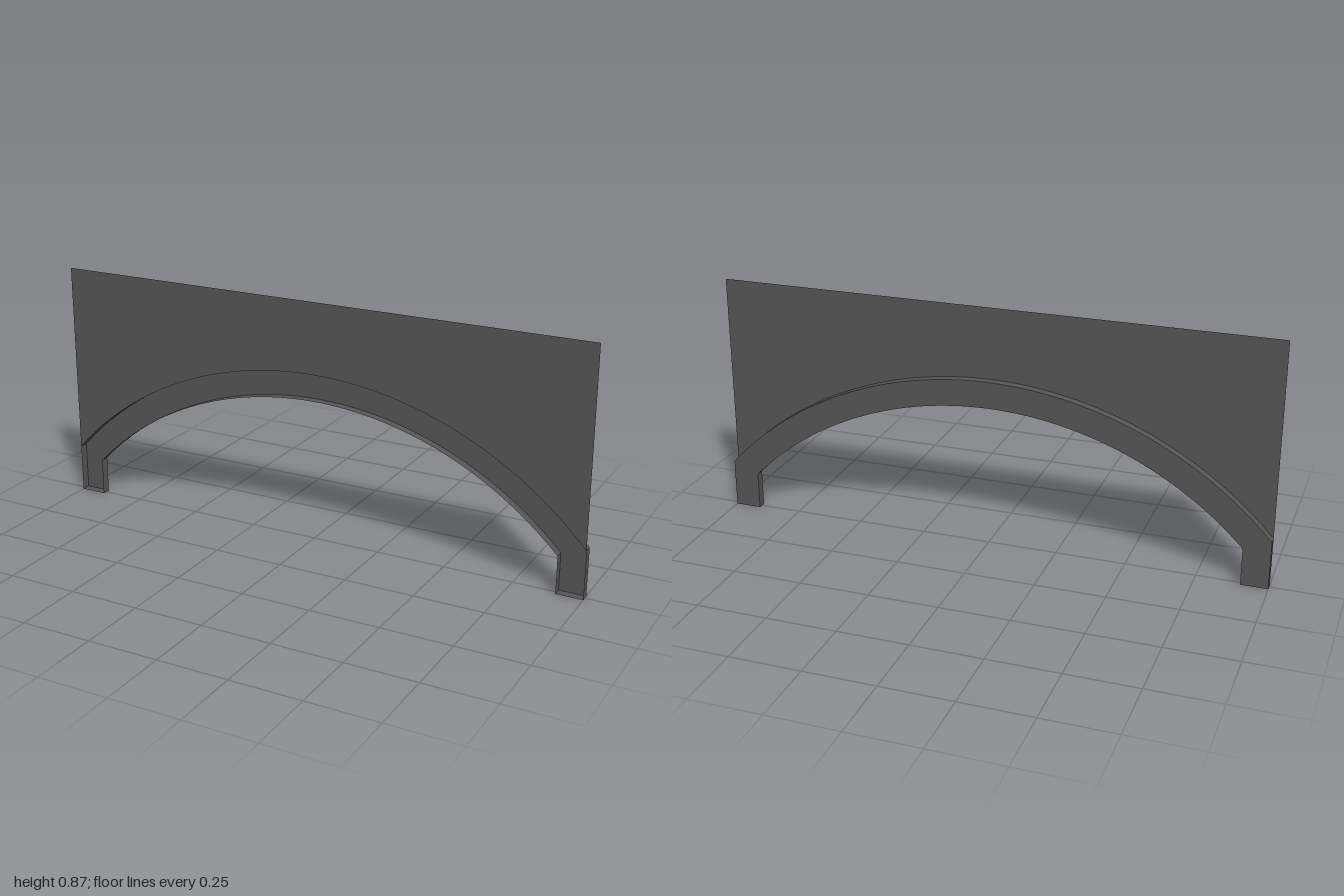
import * as THREE from 'three';

const HALF_DEPTH = 0.016;
const TOP = 0.872;
const CENTRE_Y = -0.741; // shared centre of both arcs
const OUTER_R = 1.356;
const INNER_R = 1.26;
const LEG_INNER_X = 0.905;
const SEGMENTS = 48;

// Points along an arc from x = -halfWidth to x = +halfWidth
function arcPoints(radius, halfWidth) {
  const sweep = Math.asin(halfWidth / radius);
  return Array.from({ length: SEGMENTS + 1 }, (_, i) => {
    const a = sweep * (2 * i / SEGMENTS - 1);
    return new THREE.Vector2(radius * Math.sin(a), CENTRE_Y + radius * Math.cos(a));
  });
}

// Walls running around a closed counter-clockwise outline
function wallGeometry(outline) {
  const positions = [];
  outline.forEach((a, i) => {
    const b = outline[(i + 1) % outline.length];
    const d = HALF_DEPTH;
    positions.push(
      a.x, a.y, -d, b.x, b.y, -d, b.x, b.y, d,
      a.x, a.y, -d, b.x, b.y, d, a.x, a.y, d
    );
  });
  const geometry = new THREE.BufferGeometry();
  geometry.setAttribute('position', new THREE.Float32BufferAttribute(positions, 3));
  geometry.computeVertexNormals();
  return geometry;
}

export function createModel() {
  const group = new THREE.Group();
  group.name = 'archPanel';
  const darkGrey = new THREE.MeshStandardMaterial({ color: 0x555555, side: THREE.DoubleSide });
  darkGrey.name = 'darkGrey';

  const add = (name, geometry) => {
    const mesh = new THREE.Mesh(geometry, darkGrey);
    mesh.name = name;
    group.add(mesh);
    return mesh;
  };

  const outerArc = arcPoints(OUTER_R, 1);
  const innerArc = arcPoints(INNER_R, LEG_INNER_X);

  // Thin sheet above the arch, flush with the front
  const sheet = new THREE.Shape([
    ...outerArc,
    new THREE.Vector2(1, TOP),
    new THREE.Vector2(-1, TOP),
  ]);
  add('spandrelSheet', new THREE.ShapeGeometry(sheet)).position.z = HALF_DEPTH;

  // Arch band with legs, counter-clockwise
  const band = [
    new THREE.Vector2(-1, 0),
    new THREE.Vector2(-LEG_INNER_X, 0),
    ...innerArc,
    new THREE.Vector2(LEG_INNER_X, 0),
    new THREE.Vector2(1, 0),
    ...outerArc.slice().reverse(),
  ];

  // The band is an open-fronted channel: side walls and a back plate
  add('archWalls', wallGeometry(band));
  const back = new THREE.ShapeGeometry(new THREE.Shape(band));
  back.rotateY(Math.PI);
  add('archBack', back).position.z = -HALF_DEPTH;

  return group;
}
